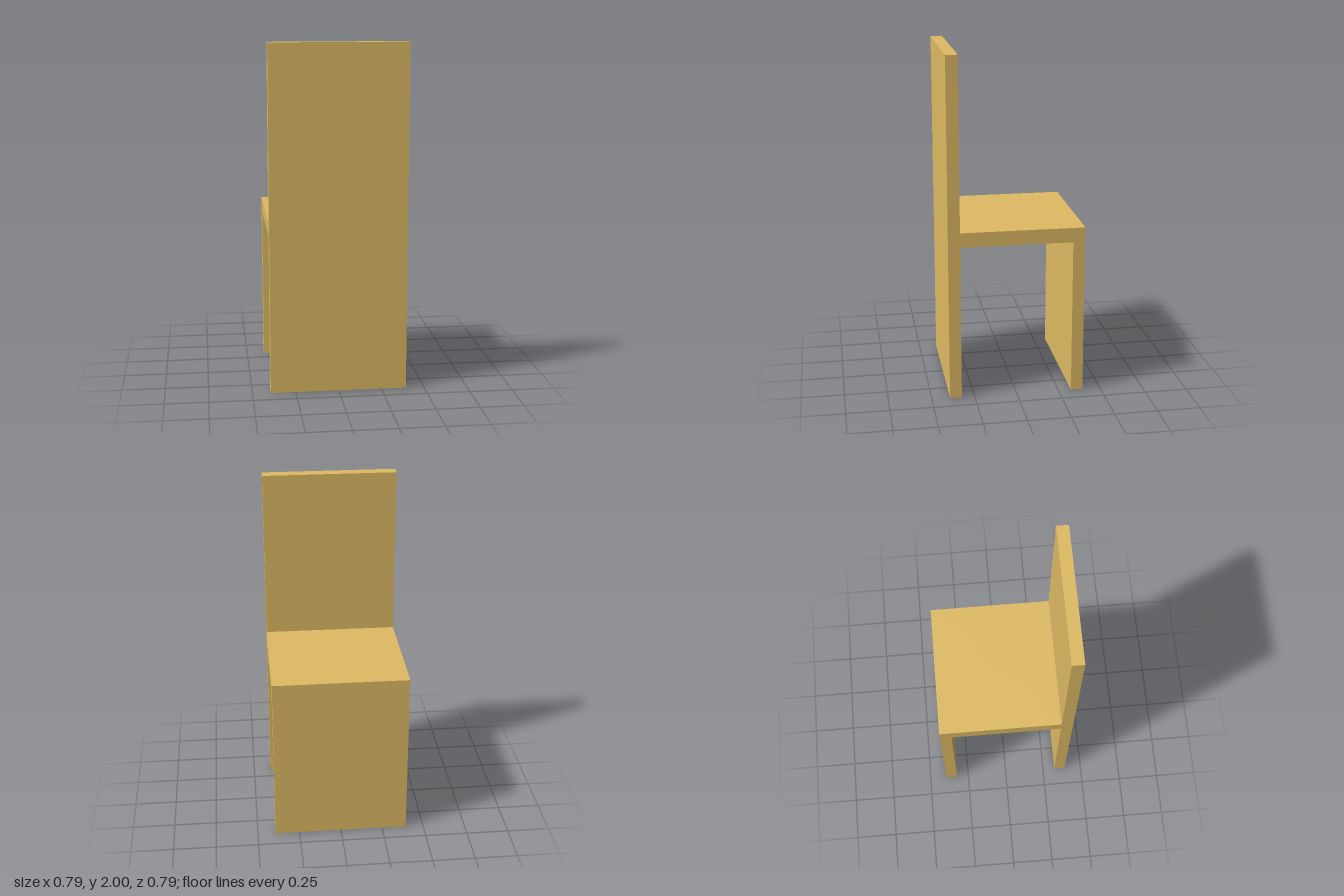
import * as THREE from 'three';

export function createModel() {
  const group = new THREE.Group();
  group.name = 'chair';
  const half = 0.394, inner = 0.325, seatTop = 1, seatBottom = 0.915, height = 2;

  // Side profile (z, y): tall back panel, seat slab and leg panel in one piece
  const profile = new THREE.Shape([
    [half, 0], [half, height], [inner, height], [inner, seatTop],
    [-half, seatTop], [-half, 0], [-inner, 0], [-inner, seatBottom],
    [inner, seatBottom], [inner, 0],
  ].map(([z, y]) => new THREE.Vector2(z, y)));

  // Extruded across the full width, then turned so the profile lies along z
  const geometry = new THREE.ExtrudeGeometry(profile, { depth: 2 * half, bevelEnabled: false });
  geometry.translate(0, 0, -half);
  geometry.rotateY(-Math.PI / 2);

  const material = new THREE.MeshStandardMaterial({ color: 0xdeba63 });
  const body = new THREE.Mesh(geometry, material);
  body.name = 'chairBody';
  group.add(body);
  return group;
}
